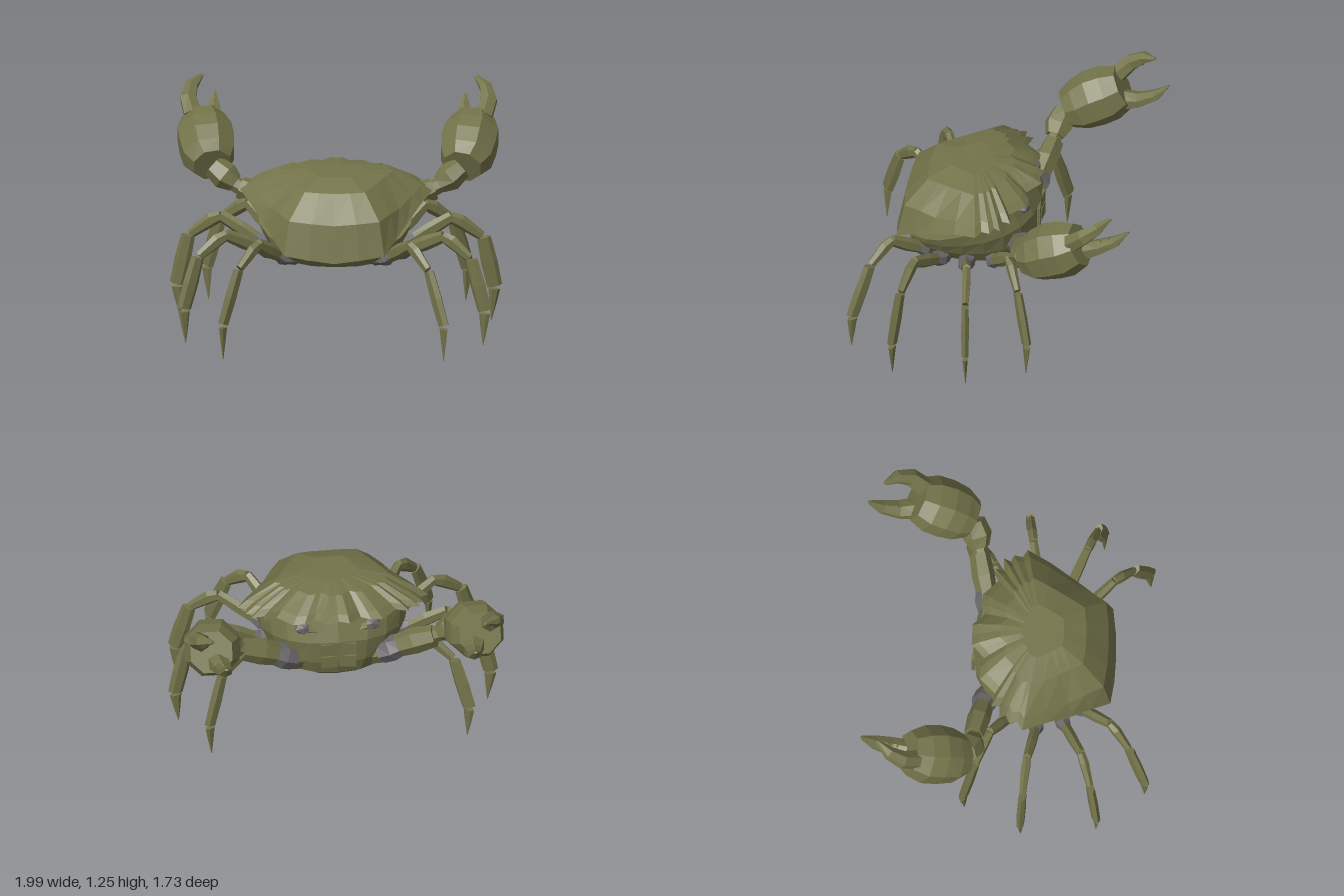
import * as THREE from 'three';

const V = (x, y, z) => new THREE.Vector3(x, y, z);
const olive = new THREE.MeshStandardMaterial({ color: 0x73734a, flatShading: true, side: THREE.DoubleSide });
olive.name = 'olive shell';
const grey = new THREE.MeshStandardMaterial({ color: 0x696769, flatShading: true });
grey.name = 'grey joint';

// Skin over equal loops of points, counterclockwise around the travel direction
function skin(name, loops, mat, capStart = true) {
  const out = [];
  const tri = (a, b, c) => out.push(...a.toArray(), ...b.toArray(), ...c.toArray());
  const n = loops[0].length;
  const mid = l => l.reduce((s, p) => s.add(p), V(0, 0, 0)).divideScalar(n);
  for (let k = 0; k + 1 < loops.length; k++) {
    for (let i = 0; i < n; i++) {
      const j = (i + 1) % n;
      tri(loops[k][i], loops[k][j], loops[k + 1][j]);
      tri(loops[k][i], loops[k + 1][j], loops[k + 1][i]);
    }
  }
  const a = loops[0], b = loops[loops.length - 1], ma = mid(a), mb = mid(b);
  for (let i = 0; i < n; i++) {
    const j = (i + 1) % n;
    if (capStart) tri(ma, a[j], a[i]);
    tri(mb, b[i], b[j]);
  }
  const g = new THREE.BufferGeometry();
  g.setAttribute('position', new THREE.Float32BufferAttribute(out, 3));
  g.computeVertexNormals();
  const m = new THREE.Mesh(g, mat);
  m.name = name;
  return m;
}

// Faceted limb through stations [x, y, z, sideRadius, otherRadius]
function limb(name, st, side, sides = 6, mat = olive) {
  const pts = st.map(s => V(s[0], s[1], s[2]));
  const loops = st.map((s, k) => {
    const t = pts[Math.min(k + 1, pts.length - 1)].clone().sub(pts[Math.max(k - 1, 0)]).normalize();
    const w = side.clone().addScaledVector(t, -side.dot(t)).normalize();
    const v = t.clone().cross(w);
    return Array.from({ length: sides }, (_, i) => {
      const a = (i + 0.5) / sides * Math.PI * 2;
      return pts[k].clone().addScaledVector(w, Math.cos(a) * s[3]).addScaledVector(v, Math.sin(a) * s[4]);
    });
  });
  return skin(name, loops, mat);
}

// Domed carapace with a toothed front rim
function carapace() {
  const half = [
    [0, .55, .645], [.15, .57, .64], [.3, .59, .62], [.37, .66, .5], [.43, .72, .39], [.51, .79, .24],
    [.575, .83, .1], [.525, .84, .07], [.535, .84, .02], [.49, .85, 0], [.51, .85, -.04], [.43, .86, -.04],
    [.44, .86, -.09], [.36, .865, -.07], [.27, .87, -.16], [.2, .875, -.165], [.14, .88, -.14],
    [.1, .89, -.18], [.065, .9, -.22], [0, .905, -.2]];
  const rim = [...half, ...half.slice(1, -1).reverse().map(p => [-p[0], p[1], p[2]])];
  const apex = V(0, 1.0, .2);
  const loops = [[0, 0, 0], [.1, .27, .5], [.4, .84, .85], [.7, .98, .98]].map(([t, hf, hb]) =>
    rim.map(([x, y, z]) => {
      const back = THREE.MathUtils.smoothstep(z, .3, .6);
      return V(x * (1 - t), y + (apex.y - y) * (hf + (hb - hf) * back), z + (apex.z - z) * t);
    }));
  return skin('carapace', loops, olive, false);
}

// Bowl-shaped underside: back height, front height, half width, back z, front z
function body() {
  const rings = [[.455, .455, .28, .42, -.12], [.48, .5, .35, .5, -.17], [.55, .6, .41, .61, -.205],
    [.575, .75, .45, .61, -.21], [.59, .89, .47, .59, -.15]];
  return skin('body', rings.map(([yb, yf, w, zb, zf]) => Array.from({ length: 20 }, (_, i) => {
    const a = i / 20 * Math.PI * 2;
    const f = (1 - Math.cos(a)) / 2;
    const sx = Math.sign(Math.sin(a)) * Math.pow(Math.abs(Math.sin(a)), .8);
    return V(w * sx, yb + (yf - yb) * f, zb + (zf - zb) * f);
  })), olive);
}

// Walking leg: hip, knee, shin top, shin bottom, tip
function leg(s, [hip, knee, top, low, tip], hipMat) {
  const g = new THREE.Group();
  g.name = 'walkingLeg';
  const P = (p, a, b) => [p[0] * s, p[1], p[2], a, b];
  const mix = (p, q, t) => p.map((v, i) => v + (q[i] - v) * t);
  const side = V(hip[2] - low[2], 0, (low[0] - hip[0]) * s).normalize();
  const inner = [hip[0] * .72, hip[1] - .02, hip[2] * .85 + .02];
  g.add(limb('hip', [P(inner, .05, .05), P(hip, .045, .045)], side, 6, hipMat));
  g.add(limb('hipJoint', [P(mix(inner, hip, .6), .053, .053), P(hip, .05, .05),
    P(mix(hip, knee, .14), .034, .038)], side, 6, grey));
  g.add(limb('thigh', [P(mix(hip, knee, .08), .032, .038), P(mix(hip, knee, .5), .032, .046),
    P(mix(hip, knee, .97), .026, .036)], side));
  g.add(limb('knee', [P(mix(hip, knee, .95), .026, .034), P(mix(knee, top, .25), .03, .044),
    P(mix(knee, top, .93), .022, .03)], side));
  g.add(limb('shin', [P(top, .024, .042), P(mix(top, low, .5), .027, .05), P(low, .024, .046)], side));
  const claw = mix(low, tip, .09);
  g.add(limb('foot', [P(claw, .019, .036), P(mix(claw, tip, .4), .012, .024), P(tip, .002, .002)], side));
  return g;
}

// Raised pincer arm
function pincer(s) {
  const g = new THREE.Group();
  g.name = 'pincerArm';
  const M = a => a.map(p => [p[0] * s, ...p.slice(1)]);
  const up = V(0, 1, 0), across = V(1, 0, 0);
  g.add(limb('shoulder', M([[.2, .56, -.06, .08, .08], [.29, .605, -.12, .075, .075]]), up));
  g.add(limb('shoulderJoint', M([[.27, .595, -.11, .078, .08], [.33, .63, -.135, .082, .078],
    [.38, .655, -.145, .07, .062]]), up, 6, grey));
  g.add(limb('upperArm', M([[.36, .645, -.14, .072, .062], [.46, .695, -.165, .085, .07],
    [.58, .74, -.19, .07, .06]]), up));
  g.add(limb('elbowJoint', M([[.56, .735, -.18, .05, .045], [.64, .775, -.2, .05, .045]]), up));
  g.add(limb('wrist', M([[.61, .765, -.19, .055, .06], [.67, .805, -.205, .085, .09], [.74, .86, -.235, .07, .075]]), up));
  g.add(limb('palm', M([[.75, .865, -.235, .12, .115], [.77, .895, -.31, .165, .155], [.785, .945, -.4, .178, .175],
    [.8, .985, -.49, .175, .17], [.81, 1.03, -.575, .135, .135]]), across, 8));
  g.add(limb('upperFinger', M([[.87, 1.08, -.53, .06, .06], [.9, 1.155, -.61, .055, .05],
    [.88, 1.21, -.69, .042, .038], [.82, 1.25, -.765, .012, .008]]), across));
  g.add(limb('lowerFinger', M([[.775, .96, -.57, .07, .065], [.755, .985, -.68, .06, .045],
    [.75, 1.035, -.78, .045, .032], [.75, 1.11, -.86, .012, .006]]), across));
  // Teeth along the gripping edges
  for (let i = 0; i < 4; i++) {
    const f = i / 3;
    const low = new THREE.Mesh(new THREE.ConeGeometry(.016, .03, 4), olive);
    low.name = 'lowerTooth';
    low.position.set((.765 - .015 * f) * s, 1.025 + .045 * f, -.64 - .15 * f);
    low.rotation.x = .3;
    const high = new THREE.Mesh(new THREE.ConeGeometry(.013, .026, 4), olive);
    high.name = 'upperTooth';
    high.position.set((.88 - .02 * f) * s, 1.1 + .1 * f, -.61 - .11 * f);
    high.rotation.x = Math.PI + .6;
    g.add(low, high);
  }
  return g;
}

export function createModel() {
  const crab = new THREE.Group();
  crab.name = 'crab';
  crab.add(carapace(), body());
  const legs = [
    [[.38, .53, .02], [.54, .68, -.1], [.7, .54, -.18], [.78, .23, -.245], [.77, .01, -.24]],
    [[.44, .53, .18], [.7, .68, .13], [.885, .54, .11], [.95, .23, .1], [.93, .01, .1]],
    [[.41, .53, .34], [.66, .67, .46], [.82, .54, .515], [.9, .23, .55], [.89, .01, .55]],
    [[.32, .53, .45], [.46, .67, .63], [.57, .54, .74], [.66, .23, .83], [.66, .01, .835]]];
  for (const s of [1, -1]) {
    legs.forEach((l, i) => crab.add(leg(s, l, i === 3 ? grey : olive)));
    crab.add(pincer(s));
    // Eye on a short stalk tucked under the front rim
    crab.add(limb('eyeStalk', [[.1 * s, .8, -.13, .04, .04], [.18 * s, .82, -.14, .035, .03]], V(0, 1, 0)));
    const eye = new THREE.Mesh(new THREE.IcosahedronGeometry(.05, 0), grey);
    eye.name = 'eye';
    eye.scale.set(1.15, .9, .8);
    eye.position.set(.205 * s, .825, -.135);
    crab.add(eye);
    // Mouth plates
    for (const y of [.7, .61]) {
      const plate = new THREE.Mesh(new THREE.BoxGeometry(.1, .08, .02), olive);
      plate.name = 'mouthPlate';
      plate.position.set(.055 * s, y, -.203);
      plate.rotation.y = .1 * s;
      crab.add(plate);
    }
  }
  return crab;
}
